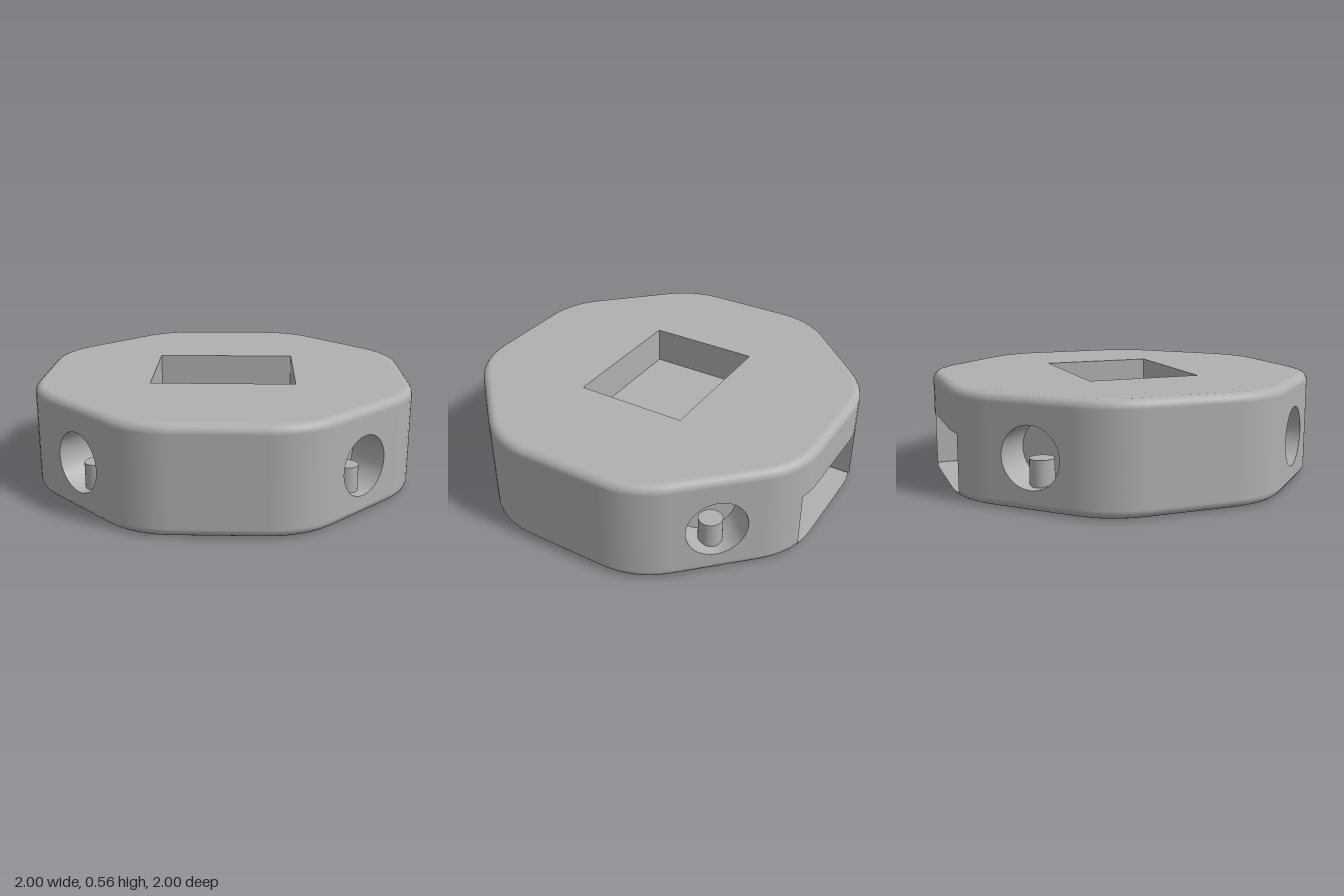
import * as THREE from 'three';
import { mergeGeometries } from 'three/addons/utils/BufferGeometryUtils.js';

const H = 0.56, CORNER = 0.45, FILLET = 0.045;
const SLOT_X = 0.35, SLOT_TOP = 0.33, SLOT_BOTTOM = FILLET / 2, SLOT_END = 0.3;
const BORE_Y = 0.262, BORE_R = 0.157, BORE_DEPTH = 0.2;
const POST_R = 0.062, POST_AT = 0.885, POST_TOP = 0.24;
const rad = THREE.MathUtils.degToRad;
const V = (x, z) => new THREE.Vector2(x, z);

// Rounded octagon: corner centre plus outward direction for each outline point
const columns = [];
for (let k = 0; k < 8; k++) {
  const c = (1 - CORNER) / Math.cos(rad(22.5)), m = rad(45 * k + 22.5);
  for (const d of [0, 8, 15.7, 22.5, 29.3, 37, 45]) {
    const a = rad(45 * k + d);
    columns.push({ cx: c * Math.sin(m), cz: c * Math.cos(m), nx: Math.sin(a), nz: Math.cos(a) });
  }
}
const at = (c, inset) => V(c.cx + (CORNER - inset) * c.nx, c.cz + (CORNER - inset) * c.nz);
const outline = (inset) => columns.map((c) => at(c, inset));
const inSlot = (c) => { const p = at(c, 0); return p.y < 0 && Math.abs(p.x) < SLOT_X + 0.005; };

// Flat plate in the xz plane, facing up or down
function plate(points, y, up, holes = []) {
  const s = new THREE.Shape(points.map((p) => V(p.x, up ? -p.y : p.y)));
  for (const h of holes) s.holes.push(new THREE.Path(h.map((p) => V(p.x, up ? -p.y : p.y))));
  return new THREE.ShapeGeometry(s).rotateX(up ? -Math.PI / 2 : Math.PI / 2).translate(0, y, 0);
}

// Upright walls along a line of points
function walls(points, y0, y1, closed) {
  const pos = [], n = points.length;
  for (let i = 0; i < (closed ? n : n - 1); i++) {
    const a = points[i], b = points[(i + 1) % n];
    pos.push(a.x, y0, a.y, b.x, y0, b.y, b.x, y1, b.y, a.x, y0, a.y, b.x, y1, b.y, a.x, y1, a.y);
  }
  const g = new THREE.BufferGeometry();
  g.setAttribute('position', new THREE.Float32BufferAttribute(pos, 3));
  g.computeVertexNormals();
  return g;
}

// Outer shell with filleted rims, left open at the slot and at the bored faces
function shell() {
  const rows = [];
  for (let t = 90; t >= 0; t -= 15) rows.push([t, -1]);
  rows.push(null);
  for (let t = 0; t <= 90; t += 15) rows.push([t, 1]);
  const pos = [], nor = [], idx = [], ys = [], n = columns.length;
  for (const r of rows) {
    const t = r ? rad(r[0]) : 0, s = r ? r[1] : 0;
    const lift = FILLET * (1 - Math.sin(t));
    const y = !r ? SLOT_TOP : s < 0 ? lift : H - lift;
    ys.push(y);
    for (const c of columns) {
      const p = at(c, FILLET * (1 - Math.cos(t)));
      pos.push(p.x, y, p.y);
      nor.push(c.nx * Math.cos(t), s * Math.sin(t), c.nz * Math.cos(t));
    }
  }
  for (let j = 0; j < rows.length - 1; j++) {
    const mid = (ys[j] + ys[j + 1]) / 2;
    for (let i = 0; i < n; i++) {
      const k = (i + 1) % n;
      const boredFace = i % 7 === 6 && Math.floor(i / 7) % 2 === 0;
      if (boredFace && mid > FILLET && mid < H - FILLET) continue;
      if (inSlot(columns[i]) && inSlot(columns[k]) && mid > SLOT_BOTTOM && mid < SLOT_TOP) continue;
      const a = j * n + i, b = j * n + k;
      idx.push(a, b, b + n, a, b + n, a + n);
    }
  }
  const g = new THREE.BufferGeometry();
  g.setAttribute('position', new THREE.Float32BufferAttribute(pos, 3));
  g.setAttribute('normal', new THREE.Float32BufferAttribute(nor, 3));
  g.setIndex(idx);
  return g;
}

export function createModel() {
  const group = new THREE.Group();
  const grey = new THREE.MeshStandardMaterial({ color: 0xb0b0b0, side: THREE.DoubleSide });
  grey.name = 'grey';
  const add = (name, geometry, parent = group) => {
    const mesh = new THREE.Mesh(geometry, grey);
    mesh.name = name;
    parent.add(mesh);
    return mesh;
  };
  const ring = (x, z, r, n, start = 0) => Array.from({ length: n }, (_, i) => {
    const a = start + (i / n) * Math.PI * 2;
    return V(x + r * Math.cos(a), z + r * Math.sin(a));
  });

  add('shell', shell());

  // Top face with rectangular pocket
  const rect = [V(-0.383, -0.303), V(0.383, -0.303), V(0.383, 0.303), V(-0.383, 0.303)];
  add('topFace', plate(outline(FILLET), H, true, [rect]));
  add('topPocketWalls', walls(rect, 0.36, H, true));
  add('topPocketFloor', plate(rect, 0.36, true));

  // Bottom face with hexagonal nut pockets and four post holes
  const nuts = [[0, 0.56]];
  for (const s of [-1, 1]) nuts.push([s * 0.345, 0.56], [s * 0.61, 0.25], [s * 0.61, -0.23]);
  const hexes = nuts.map(([x, z]) => ring(x, z, 0.127, 6, Math.PI / 6));
  const corners = [45, 135, 225, 315].map(rad);
  const postHoles = corners.map((a) => ring(POST_AT * Math.sin(a), POST_AT * Math.cos(a), POST_R, 32));
  add('bottomFace', plate(outline(FILLET), 0, false, [...hexes, ...postHoles]));
  for (const hex of hexes) {
    add('nutPocketWalls', walls(hex, 0, 0.1, true));
    add('nutPocketRoof', plate(hex, 0.1, false));
  }

  // Bored diagonal faces, each with a hollow upright post
  const halfFlat = (1 - CORNER) * Math.tan(rad(22.5));
  for (const a of corners) {
    const side = new THREE.Group();
    side.name = 'boredSide';
    side.rotation.y = a;
    group.add(side);
    const face = new THREE.Shape([V(-halfFlat, FILLET), V(halfFlat, FILLET),
      V(halfFlat, H - FILLET), V(-halfFlat, H - FILLET)]);
    face.holes.push(new THREE.Path(ring(0, BORE_Y, BORE_R, 48)));
    add('boredFace', new THREE.ShapeGeometry(face), side).position.z = 1;
    add('boreWall', new THREE.CylinderGeometry(BORE_R, BORE_R, BORE_DEPTH, 48, 1, true)
      .rotateX(Math.PI / 2).translate(0, BORE_Y, 1 - BORE_DEPTH / 2), side);
    add('boreEnd', new THREE.CircleGeometry(BORE_R, 48).translate(0, BORE_Y, 1 - BORE_DEPTH), side);
    add('post', mergeGeometries([
      new THREE.CylinderGeometry(POST_R, POST_R, POST_TOP, 32, 1, true).translate(0, POST_TOP / 2, POST_AT),
      new THREE.CircleGeometry(POST_R, 32).rotateX(-Math.PI / 2).translate(0, POST_TOP, POST_AT),
    ]), side);
  }

  // Deep slot opening through the back
  const mouth = (inset) => columns.filter(inSlot).map((c) => at(c, inset));
  const inner = [V(-SLOT_X, SLOT_END), V(SLOT_X, SLOT_END)];
  const rim = mouth(0);
  add('slotRoof', plate([...rim, ...inner], SLOT_TOP, false));
  add('slotFloor', plate([...mouth(FILLET * (1 - Math.cos(rad(30)))), ...inner], SLOT_BOTTOM, true));
  add('slotWalls', walls([rim[rim.length - 1], ...inner, rim[0]], SLOT_BOTTOM, SLOT_TOP, false));
  return group;
}
